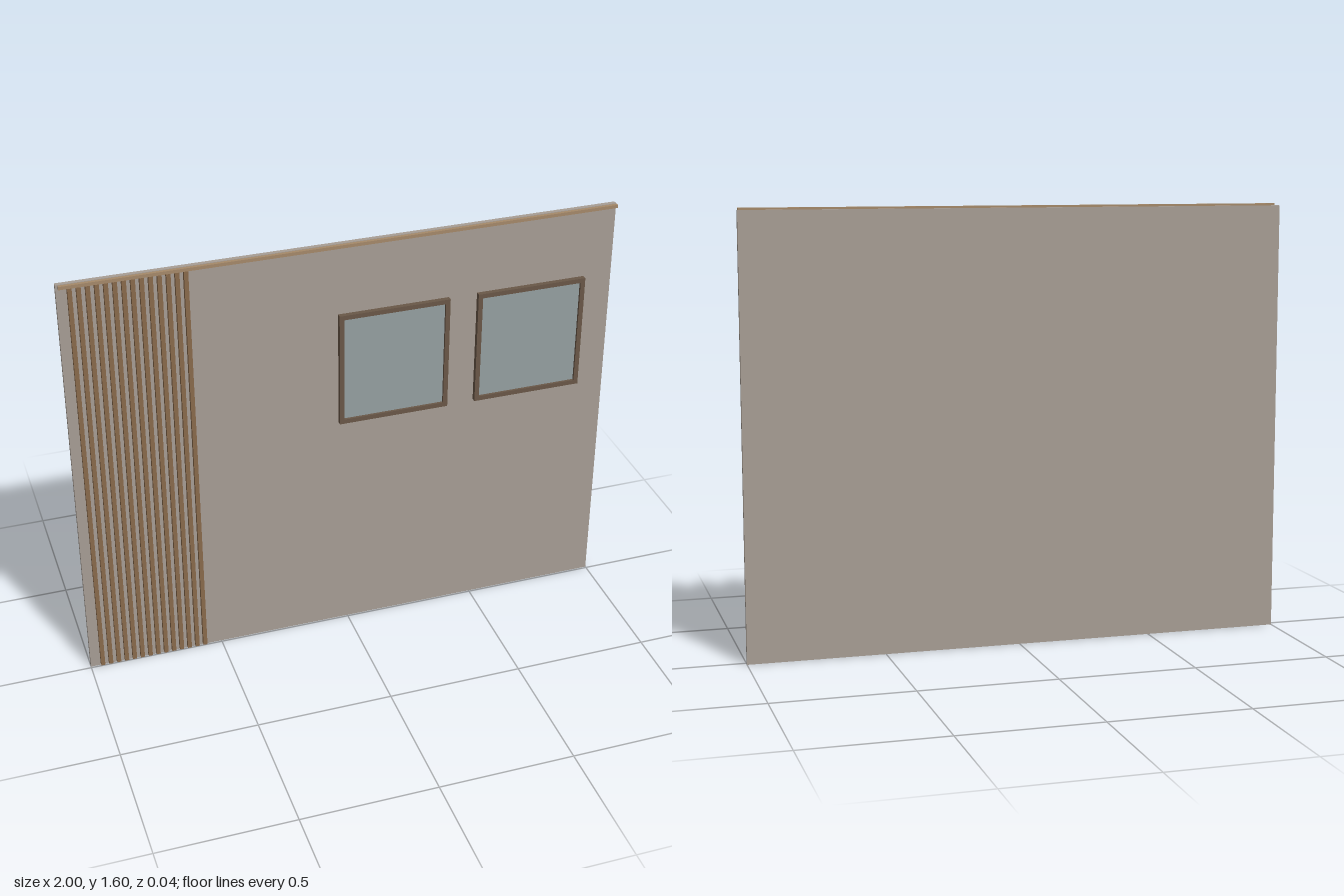
import * as THREE from 'three';

const material = (color) => new THREE.MeshStandardMaterial({ color });

// Box given by its minimum and maximum corners
function box(name, mat, [x0, y0, z0], [x1, y1, z1]) {
  const mesh = new THREE.Mesh(new THREE.BoxGeometry(x1 - x0, y1 - y0, z1 - z0), mat);
  mesh.position.set((x0 + x1) / 2, (y0 + y1) / 2, (z0 + z1) / 2);
  mesh.name = name;
  return mesh;
}

// Rectangular frame with an opening, and a recessed pane
function createWindow(name, x, y, frameMat, paneMat) {
  const w = 0.41, h = 0.438, border = 0.017;
  const rect = (path, a, b) => path
    .moveTo(-a, -b).lineTo(a, -b).lineTo(a, b).lineTo(-a, b).closePath();
  const shape = new THREE.Shape();
  rect(shape, w / 2, h / 2);
  const hole = new THREE.Path();
  rect(hole, w / 2 - border, h / 2 - border);
  shape.holes.push(hole);

  const frame = new THREE.Mesh(
    new THREE.ExtrudeGeometry(shape, { depth: 0.018, bevelEnabled: false }), frameMat);
  frame.position.z = -0.001;
  frame.name = 'windowFrame';

  const a = w / 2 - border, b = h / 2 - border;
  const pane = box('windowPane', paneMat, [-a, -b, 0.002], [a, b, 0.008]);

  const group = new THREE.Group();
  group.name = name;
  group.add(frame, pane);
  group.position.set(x, y, 0);
  return group;
}

export function createModel() {
  const model = new THREE.Group();
  model.name = 'wallPanel';
  const wallMat = material(0xa89e95);
  const slatMat = material(0x8a6a4c);
  const railMat = material(0xa68a6a);
  const frameMat = material(0x6a5848);
  const paneMat = material(0x96a0a2);

  // Wall slab
  model.add(box('wall', wallMat, [-1, 0, -0.022], [1, 1.59, -0.006]));

  // Vertical slats beside the right edge
  const slats = new THREE.Group();
  slats.name = 'slats';
  for (let i = 0; i < 14; i++) {
    const x = -0.956 + i * 0.03;
    slats.add(box('slat', slatMat, [x - 0.0075, 0.008, -0.006], [x + 0.0075, 1.582, 0.009]));
  }
  model.add(slats);

  // Thin rail along the top, standing clear of the wall
  model.add(box('topRail', railMat, [-0.994, 1.585, 0.011], [0.994, 1.597, 0.022]));

  // Two framed windows
  model.add(createWindow('rightWindow', 0.17, 1.103, frameMat, paneMat));
  model.add(createWindow('leftWindow', 0.686, 1.103, frameMat, paneMat));
  return model;
}
